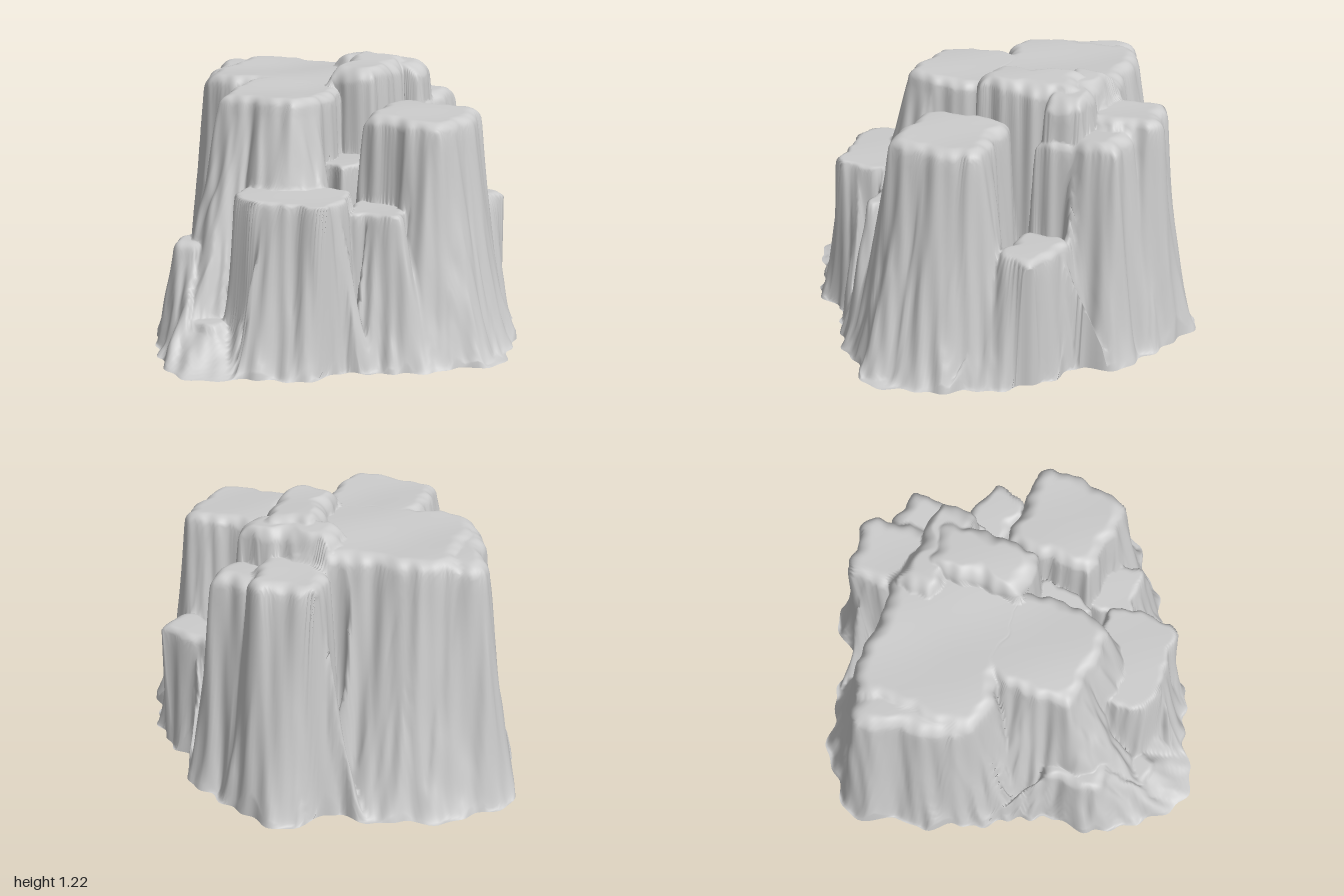
import * as THREE from 'three';

// Ground line: distance from the middle every 15 degrees, from +x round towards +z
const GROUND = [
  0.91, 0.98, 0.87, 0.8, 0.73, 0.84, 0.88, 1.035, 0.955, 0.86, 0.72, 0.74,
  0.82, 0.93, 1.095, 1.04, 0.95, 0.86, 1.0, 0.91, 0.89, 0.77, 0.83, 0.86,
];
const TURN = Math.PI * 2;
const STEPS = 240;

// Ground line at any angle, with small notches between the given points
function groundRadius(angle) {
  const f = ((angle / TURN + 1) % 1) * GROUND.length, k = Math.floor(f);
  const t = THREE.MathUtils.smoothstep(f - k, 0, 1);
  const r = THREE.MathUtils.lerp(GROUND[k % GROUND.length], GROUND[(k + 1) % GROUND.length], t);
  return r + 0.02 * Math.sin(12 * angle) * Math.sin(31 * angle);
}

// A column has a rounded rectangular top. Sides nearer to the ground line than
// "reach" flare right out to it, the other sides drop almost straight.
function column(x, z, halfX, halfZ, turn, height, options = {}) {
  const c = { x, z, halfX, halfZ, turn, height, round: 0.06, flare: 1.5, reach: 0.4, ...options };
  c.foot = [];
  for (let k = 0; k < STEPS; k++) {
    const a = (k / STEPS) * TURN, dx = Math.cos(a), dz = Math.sin(a);
    let d = 0;
    while (Math.hypot(x + d * dx, z + d * dz) < groundRadius(Math.atan2(z + d * dz, x + d * dx))) d += 0.005;
    const edge = topRadius(c, a), gap = Math.max(d - edge, 0.03);
    const inner = THREE.MathUtils.smoothstep(gap, c.reach * 0.7, c.reach + 0.01);
    c.foot.push(edge + THREE.MathUtils.lerp(gap, Math.min(gap, 0.07), inner));
  }
  return c;
}

function topRadius(c, angle) {
  const u = Math.abs(Math.cos(angle - c.turn)) / c.halfX, v = Math.abs(Math.sin(angle - c.turn)) / c.halfZ;
  return Math.pow(u ** 7 + v ** 7, -1 / 7);
}

function footRadius(c, angle) {
  const f = ((angle / TURN + 1) % 1) * STEPS, k = Math.floor(f);
  return THREE.MathUtils.lerp(c.foot[k % STEPS], c.foot[(k + 1) % STEPS], f - k);
}

// Height of one column: flat top with a rounded rim, then the flaring wall
function columnHeight(c, x, z) {
  const dx = x - c.x, dz = z - c.z;
  const r = Math.hypot(dx, dz), a = Math.atan2(dz, dx);
  const edge = topRadius(c, a), foot = Math.max(footRadius(c, a), edge + 0.02);
  if (r >= foot) return 0;
  if (r > edge) return (c.height - c.round) * Math.pow(1 - (r - edge) / (foot - edge), c.flare);
  const e = Math.max(0, 1 - (edge - r) / c.round);
  return c.height - c.round * (1 - Math.sqrt(1 - e * e));
}

// Weathering: layered waves bend the walls, a faint swell dents the tops
function rockHeight(columns, x, z) {
  const wx = x + 0.010 * Math.sin(17 * z + 5 * x + 1) + 0.006 * Math.sin(41 * z - 13 * x) + 0.003 * Math.sin(83 * z + 29 * x);
  const wz = z + 0.010 * Math.sin(19 * x - 4 * z + 2) + 0.006 * Math.sin(43 * x + 11 * z) + 0.003 * Math.sin(79 * x - 31 * z);
  const swell = 1 - 0.008 * (1 + Math.sin(9 * x + 2) * Math.sin(8 * z + 1));
  return swell * Math.max(...columns.map((c) => columnHeight(c, wx, wz)));
}

// One open skin over all columns: rings of points from the middle to the ground line
function rockSkin(columns, around, rings) {
  const pos = [0, rockHeight(columns, 0, 0), 0], index = [];
  for (let i = 1; i <= rings; i++) {
    for (let j = 0; j < around; j++) {
      const a = (j / around) * TURN, r = groundRadius(a) * Math.pow(i / rings, 0.8);
      const x = r * Math.cos(a), z = r * Math.sin(a);
      pos.push(x, i === rings ? 0 : rockHeight(columns, x, z), z);
      const n = (j + 1) % around, b = 1 + (i - 1) * around;
      if (i === 1) index.push(0, b + n, b + j);
      else index.push(b - around + j, b + n, b + j, b - around + j, b - around + n, b + n);
    }
  }
  const geo = new THREE.BufferGeometry();
  geo.setAttribute('position', new THREE.Float32BufferAttribute(pos, 3));
  geo.setIndex(index);
  geo.computeVertexNormals();
  return geo;
}

export function createModel() {
  const columns = [
    // low core under the crevices, with the skirt around it
    column(0, -0.05, 0.5, 0.5, 0, 0.33, { reach: 2 }),
    // left plateau and its slanting outer corner
    column(-0.29, -0.25, 0.39, 0.31, 0, 1.14, { round: 0.08 }),
    column(-0.54, -0.27, 0.21, 0.27, -0.26, 1.12, { round: 0.08 }),
    // front tower
    column(-0.17, 0.18, 0.23, 0.23, 0.06, 1.14, { reach: 0.7 }),
    // crown
    column(0.1, -0.22, 0.13, 0.24, 0, 1.225, { round: 0.09, reach: 0 }),
    column(0.08, -0.42, 0.24, 0.1, 0.1, 1.2, { round: 0.09, reach: 0 }),
    // back column and the buttress beside it
    column(0.02, -0.6, 0.16, 0.21, 0, 1.08, { round: 0.07 }),
    column(0.22, -0.5, 0.14, 0.2, 0.1, 1.03, { round: 0.08 }),
    // tall right column and the ledge behind it
    column(0.47, 0.05, 0.22, 0.22, 0.08, 1.07, { round: 0.07, reach: 0.36 }),
    column(0.55, -0.35, 0.16, 0.11, 0.3, 0.6, { round: 0.05 }),
    // front block, its small neighbour and the nook step behind them
    column(0.04, 0.52, 0.24, 0.18, 0, 0.755, { round: 0.03, reach: 0.3 }),
    column(0.38, 0.34, 0.13, 0.11, 0, 0.68, { round: 0.03, reach: 0.3 }),
    column(0.13, 0.12, 0.1, 0.14, 0.2, 0.83, { round: 0.03, reach: 0 }),
    // front left shoulder and rubble foot
    column(-0.45, 0.45, 0.1, 0.15, -0.1, 0.48, { flare: 1.3, reach: 0.5 }),
    column(-0.3, 0.68, 0.12, 0.1, 0.2, 0.18, { round: 0.03, reach: 0.5 }),
  ];
  const rock = new THREE.Mesh(
    rockSkin(columns, 340, 130),
    new THREE.MeshStandardMaterial({ color: 0xcccccc, side: THREE.DoubleSide }),
  );
  rock.name = 'rockFormation';
  const group = new THREE.Group();
  group.name = 'rock';
  group.add(rock);
  return group;
}
